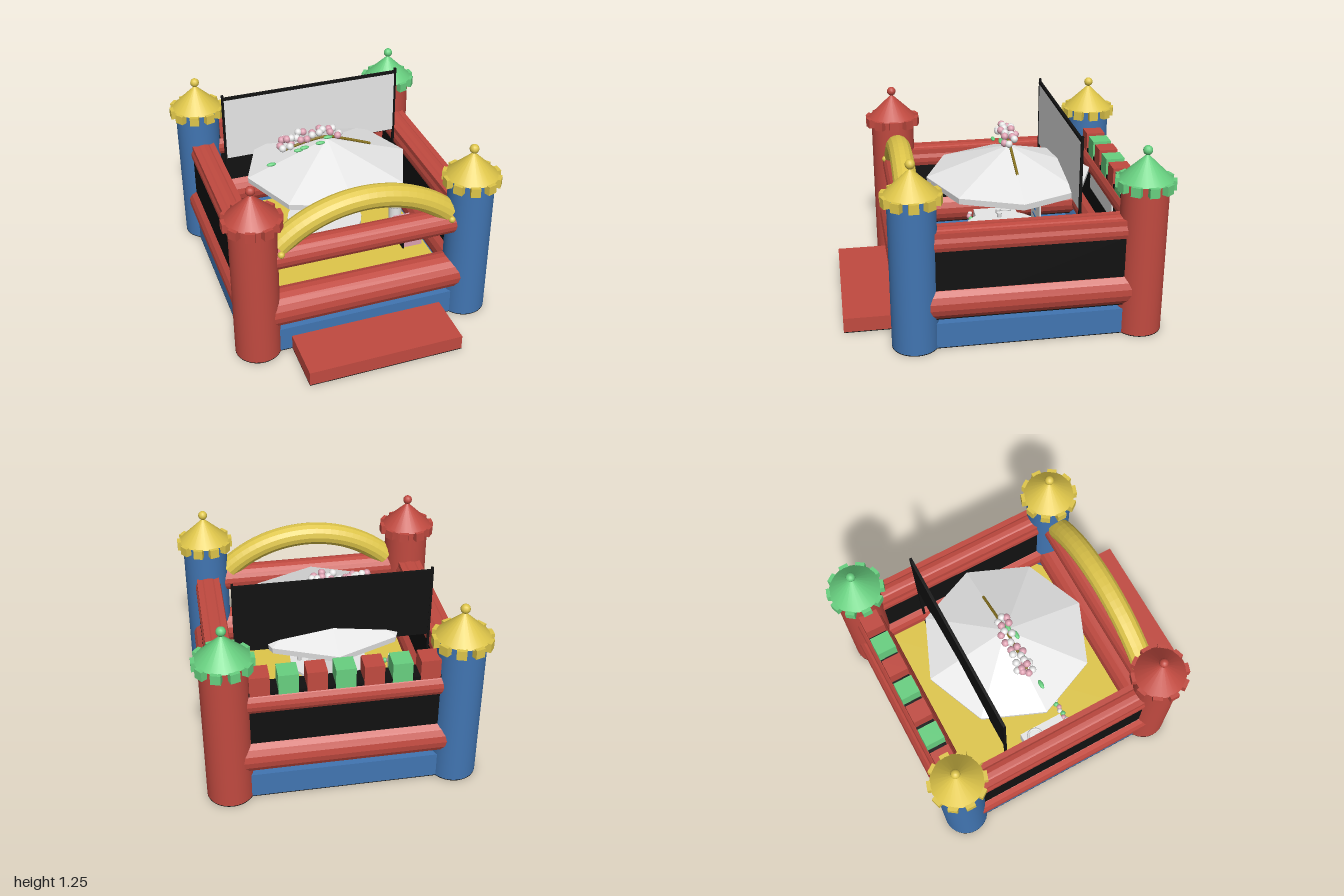
import * as THREE from 'three';

const mat = (name, color, double) => {
  const m = new THREE.MeshStandardMaterial({ color });
  m.name = name;
  if (double) m.side = THREE.DoubleSide;
  return m;
};

export function createModel() {
  const root = new THREE.Group();
  root.name = 'bouncyCastle';
  const red = mat('red', 0xc14a40), blue = mat('blue', 0x4175b2), yellow = mat('yellow', 0xdfc64a);
  const green = mat('green', 0x68d080), white = mat('white', 0xf4f4f4, true), pink = mat('pink', 0xdba0b0);
  const black = mat('black', 0x111111), brown = mat('brown', 0x8a7420);

  const add = (name, geo, m, x = 0, y = 0, z = 0, parent = root) => {
    const mesh = new THREE.Mesh(geo, m);
    mesh.name = name;
    mesh.position.set(x, y, z);
    parent.add(mesh);
    return mesh;
  };
  // Box given by its minimum and maximum corners
  const box = (name, m, x0, x1, y0, y1, z0, z1, parent) =>
    add(name, new THREE.BoxGeometry(x1 - x0, y1 - y0, z1 - z0), m,
      (x0 + x1) / 2, (y0 + y1) / 2, (z0 + z1) / 2, parent);
  const flat = (g) => {
    const f = g.toNonIndexed();
    f.computeVertexNormals();
    return f;
  };
  const ball = (name, m, r, x, y, z, parent) =>
    add(name, new THREE.SphereGeometry(r, 12, 8), m, x, y, z, parent);

  const X = 0.7, ZF = 0.57, ZB = -0.83, W = 0.075;

  // Base, floor, step and their dark undersides
  box('base', blue, -X - W, X + W, 0.005, 0.17, ZB - W, ZF + W);
  box('floor', yellow, -X + W, X - W, 0.17, 0.18, ZB + W, ZF - W);
  box('baseUnderside', black, -X - W, X + W, 0, 0.005, ZB - W, ZF + W);
  box('entranceStep', red, -0.5, 0.5, 0.005, 0.1, 0.62, 1);
  box('stepUnderside', black, -0.5, 0.5, 0, 0.005, 0.646, 1);

  // Corner towers
  const tower = (x, z, body, roof) => {
    const g = new THREE.Group();
    g.name = 'tower';
    g.position.set(x, 0, z);
    root.add(g);
    add('towerBody', new THREE.CylinderGeometry(0.145, 0.145, 0.995, 32), body, 0, 0.5025, 0, g);
    add('towerUnderside', new THREE.CylinderGeometry(0.145, 0.145, 0.005, 32), black, 0, 0.0025, 0, g);
    add('towerRoof', new THREE.ConeGeometry(0.165, 0.16, 24), roof, 0, 1.08, 0, g);
    ball('towerBall', roof, 0.03, 0, 1.18, 0, g);
    for (let i = 0; i < 10; i++) {
      const a = i / 10 * Math.PI * 2;
      const b = box('battlement', roof, -0.03, 0.03, 0.945, 1.005, -0.03, 0.03, g);
      b.position.x = 0.152 * Math.cos(a);
      b.position.z = 0.152 * Math.sin(a);
      b.rotation.y = -a;
    }
  };
  tower(-X, ZF, red, red);
  tower(X, ZF, blue, yellow);
  tower(X, ZB, red, green);
  tower(-X, ZB, blue, yellow);

  // Inflated rails on all four sides
  for (const [y, r] of [[0.3, 0.12], [0.69, 0.086]]) {
    for (const z of [ZF, ZB])
      add('crossRail', flat(new THREE.CylinderGeometry(r, r, 2 * X, 18)), red, 0, y, z).rotation.z = Math.PI / 2;
    for (const x of [-X, X])
      add('sideRail', flat(new THREE.CylinderGeometry(r, r, ZF - ZB, 18)), red, x, y, (ZF + ZB) / 2).rotation.x = Math.PI / 2;
  }

  // Dark walls at the sides and back
  for (const x of [-X, X]) box('sideWall', black, x - W, x + W, 0.2, 0.7, ZB, ZF);
  box('backWall', black, -X, X, 0.2, 0.775, ZB - 0.06, ZB + 0.06);
  for (const x of [-X, X]) box('sideWallTrim', red, x - W, x + W, 0.7, 0.765, ZB, ZF);

  // Blocks along the back rail
  for (let i = -3; i <= 3; i++)
    box('backBlock', i % 2 ? red : green, i * 0.168 - 0.06, i * 0.168 + 0.06, 0.75, 0.88, ZB - 0.062, ZB + 0.062);

  // Entrance arch
  class Arc extends THREE.Curve {
    getPoint(t, p = new THREE.Vector3()) {
      const a = (t - 0.5) * 1.5;
      return p.set(0.8 * Math.sin(a), 0.18 + 0.8 * Math.cos(a), 0);
    }
  }
  add('entranceArch', flat(new THREE.TubeGeometry(new Arc(), 24, 0.075, 14)), yellow, 0, 0, ZF);
  for (const s of [-1, 1]) {
    const cap = add('archEnd', new THREE.CircleGeometry(0.075, 14), yellow,
      s * 0.8 * Math.sin(0.75), 0.18 + 0.8 * Math.cos(0.75), ZF);
    cap.lookAt(cap.position.x + s * Math.cos(0.75), cap.position.y - Math.sin(0.75), ZF);
    ball('archKnob', yellow, 0.022, s * 0.55, 0.74, ZF + 0.07);
  }

  // Screen with dark back and frame
  box('screenFront', white, -0.595, 0.595, 0.78, 1.215, -0.456, -0.452);
  box('screenBack', black, -0.595, 0.595, 0.775, 1.22, -0.464, -0.456);
  box('screenTopBar', black, -0.6, 0.6, 1.215, 1.232, -0.466, -0.448);
  for (const x of [-0.6, 0.6]) box('screenPost', black, x - 0.007, x + 0.007, 0.18, 1.25, -0.466, -0.45);

  // Eight-sided canopy
  const canopy = new THREE.Group();
  canopy.name = 'canopy';
  canopy.position.set(0, 0, -0.13);
  root.add(canopy);
  add('canopyTop', flat(new THREE.ConeGeometry(0.54, 0.19, 8, 1, true)), white, 0, 0.905, 0, canopy);
  add('canopyRim', flat(new THREE.CylinderGeometry(0.54, 0.535, 0.04, 8, 1, true)), white, 0, 0.79, 0, canopy);

  // Blossom branch lying over the canopy
  const branch = new THREE.CatmullRomCurve3([
    new THREE.Vector3(0.3, 0.905, 0), new THREE.Vector3(0.12, 0.975, 0),
    new THREE.Vector3(0, 1.015, 0), new THREE.Vector3(-0.16, 1.0, 0), new THREE.Vector3(-0.28, 0.97, 0)]);
  add('branch', new THREE.TubeGeometry(branch, 16, 0.009, 6), brown, 0, 0, 0, canopy);
  const clusters = [[-0.28, 1.01, 0], [-0.26, 1.03, -0.03], [-0.17, 1.04, -0.01], [-0.06, 1.05, -0.02], [0.04, 1.05, 0.01]];
  clusters.forEach(([x, y, z], c) => {
    for (let i = 0; i < 5; i++) {
      const a = i * 2.4 + c;
      ball('blossom', (i + c) % 2 ? white : pink, 0.024,
        x + 0.036 * Math.cos(a), y + 0.018 * Math.sin(a * 1.7), z + 0.036 * Math.sin(a), canopy);
    }
  });
  for (const [x, z] of [[-0.39, 0.04], [-0.2, 0.02], [-0.16, 0.02], [-0.06, 0.045], [0.0, 0.02]])
    ball('leaf', green, 0.032, x, 1.02 - Math.abs(x) * 0.3, z, canopy).scale.set(1, 0.35, 0.45);

  // Sign on the back wall and striped board
  box('wallSign', white, -0.27, 0.27, 0.55, 0.68, -0.765, -0.755);
  box('board', white, -0.135, 0.135, 0.18, 0.66, -0.32, -0.31);
  for (const [m, x0, x1, y] of [[red, -0.09, 0.06, 0.583], [blue, -0.09, 0.025, 0.537], [blue, -0.06, 0.035, 0.488]])
    box('boardStripe', m, x0, x1, y - 0.005, y + 0.005, -0.31, -0.305);

  // Table with cups
  add('tableLeg', new THREE.CylinderGeometry(0.05, 0.07, 0.21, 16), white, 0, 0.285, -0.1);
  add('tableTop', new THREE.CylinderGeometry(0.25, 0.25, 0.02, 24), white, -0.03, 0.4, -0.1);
  for (const x of [-0.24, -0.18, -0.02, 0.01, 0.16])
    add('cup', new THREE.CylinderGeometry(0.018, 0.014, 0.036, 10), white, x, 0.426, -0.1);

  // Seats along the side walls
  box('whiteBench', white, -0.6, -0.47, 0.18, 0.3, -0.28, 0.02);
  box('pinkBench', pink, 0.46, 0.6, 0.18, 0.32, -0.07, 0.12);
  box('benchRail', black, 0.455, 0.465, 0.18, 0.33, 0.06, 0.13);
  for (const x of [-0.53, 0.53]) {
    add('ringSeat', new THREE.CylinderGeometry(0.045, 0.045, 0.14, 16), white, x, 0.25, -0.2);
    add('seatRing', new THREE.TorusGeometry(0.048, 0.008, 6, 20), white, x, 0.32, -0.2).rotation.x = Math.PI / 2;
  }

  // Bead garland
  for (let i = 0; i < 14; i++) {
    const t = i / 13;
    ball('garlandBead', [white, pink, green][i % 3], 0.018, -0.59 + 0.34 * t, 0.27 - 0.2 * t * (1 - t), 0.045 + 0.01 * (i % 2));
  }
  return root;
}
